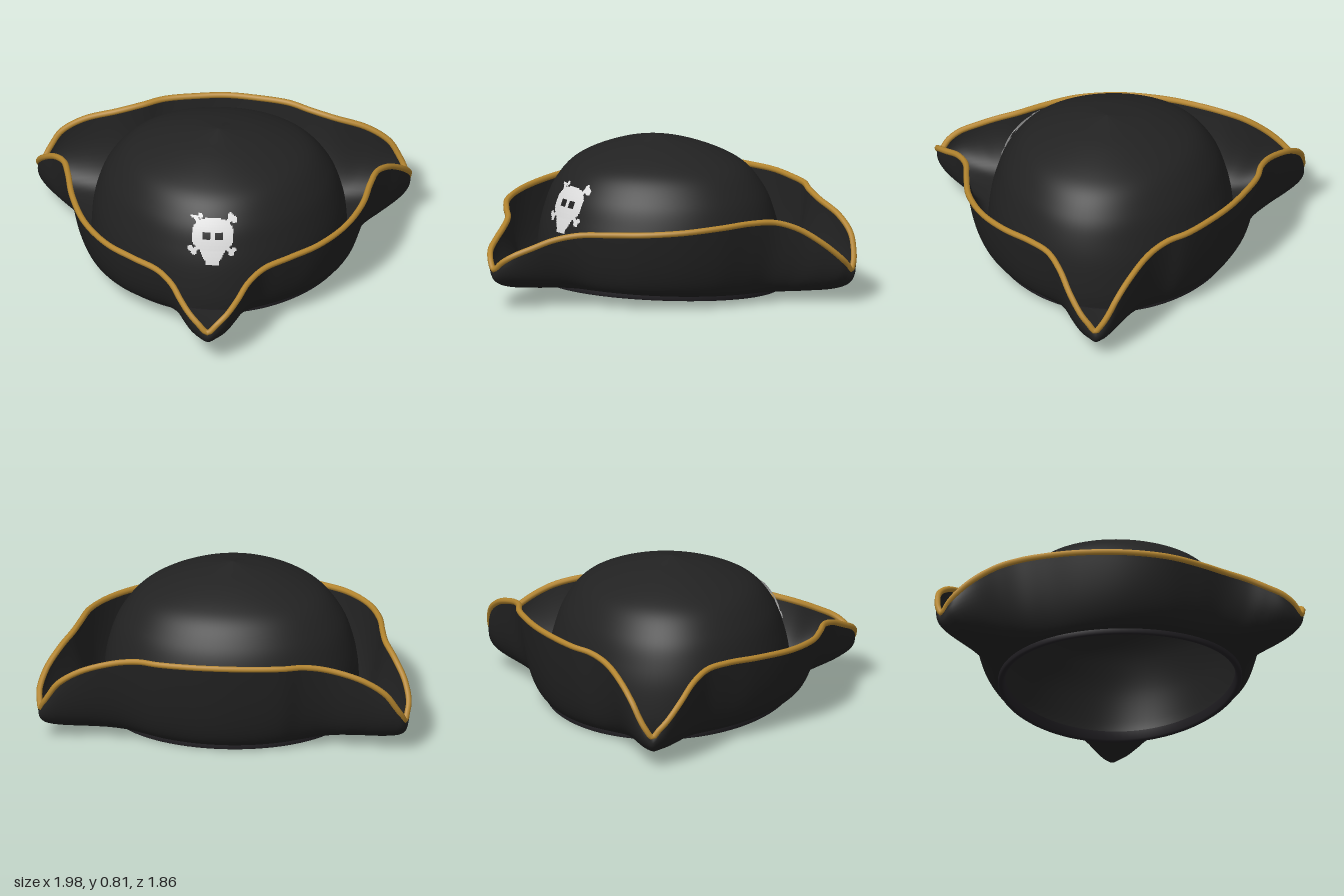
import * as THREE from 'three';

const material = (name, color, side = THREE.FrontSide) => {
  const m = new THREE.MeshStandardMaterial({ color, side });
  m.name = name;
  return m;
};

const SEGMENTS = 96, TOP = 0.812, CENTRE_Z = -0.14, DEPTH = 0.955, EGG = 0.12;

// The hat sits tilted: its opening is higher at the front
const baseY = z => 0.031 + 0.049 * (z - CENTRE_Z);

// The crown gets a little shallower from front to back as it rises
const depthAt = y => DEPTH - 0.035 * Math.min(1, y / 0.4);

// Egg-shaped outline, narrower at the front: x of a unit ring at angle a
const eggX = a => Math.sin(a) * (1 - EGG * Math.cos(a)) * 0.99;

// Joins rings of points (each closed, listed from front towards +x) into one smooth surface
function loft(rings) {
  const n = rings[0].length, index = [];
  for (let j = 0; j < rings.length - 1; j++) {
    for (let i = 0; i < n; i++) {
      const a = j * n + i, b = j * n + (i + 1) % n;
      index.push(a, b, a + n, b, b + n, a + n);
    }
  }
  const geometry = new THREE.BufferGeometry().setFromPoints(rings.flat());
  geometry.setIndex(index);
  geometry.computeVertexNormals();
  return geometry;
}

// Oval ring at radius r and height y above the tilted opening; the tilt fades out to the peak
function oval(r, y) {
  return Array.from({ length: SEGMENTS }, (_, i) => {
    const a = (i / SEGMENTS) * Math.PI * 2;
    const z = CENTRE_Z + Math.cos(a) * r * depthAt(y);
    return new THREE.Vector3(eggX(a) * r, y + baseY(z) * (1 - y / TOP), z);
  });
}

const crownProfile = new THREE.SplineCurve([
  [0.665, 0.005], [0.675, 0.12], [0.663, 0.3], [0.625, 0.45], [0.575, 0.55], [0.5, 0.64],
  [0.4, 0.7], [0.25, 0.755], [0.1, 0.79], [0.001, TOP],
].map(p => new THREE.Vector2(...p))).getPoints(60);

// Front of the crown: z for a given x and y
function crownZ(x, y) {
  const b = baseY(0.4);
  const h = (y - b) / (1 - b / TOP);
  const k = crownProfile.findIndex(p => p.y >= h);
  const p = crownProfile[k - 1], q = crownProfile[k];
  const r = THREE.MathUtils.mapLinear(h, p.y, q.y, p.x, q.x);
  const across = x / (1 - EGG);
  return CENTRE_Z + depthAt(h) * Math.sqrt(r * r - across * across);
}

// Brim edge from the front point round to the middle of the back, then back along the other side
function brimEdge() {
  const half = [
    [0, 0.216, 0.913], [0.05, 0.26, 0.9], [0.1, 0.3, 0.862], [0.15, 0.338, 0.78], [0.2, 0.378, 0.675],
    [0.28, 0.405, 0.57], [0.41, 0.418, 0.477], [0.555, 0.428, 0.365], [0.685, 0.44, 0.195], [0.765, 0.455, 0],
    [0.797, 0.463, -0.19], [0.825, 0.455, -0.32], [0.88, 0.415, -0.43], [0.945, 0.335, -0.54],
    [0.975, 0.255, -0.63], [0.972, 0.212, -0.675], [0.962, 0.174, -0.71], [0.945, 0.215, -0.74],
    [0.915, 0.27, -0.762], [0.865, 0.345, -0.78], [0.75, 0.42, -0.788], [0.57, 0.475, -0.79],
    [0.44, 0.5, -0.82], [0.33, 0.508, -0.87], [0.16, 0.512, -0.902], [0, 0.515, -0.915],
  ].map(p => new THREE.Vector3(...p));
  // The right side of the brim is slightly fuller towards the front
  const fuller = z => 0.055 * Math.max(0, 1 - ((z - 0.42) / 0.4) ** 2);
  const other = half.slice(1, -1).reverse().map(p => new THREE.Vector3(-p.x, p.y, p.z + fuller(p.z)));
  return new THREE.CatmullRomCurve3([...half, ...other], true);
}

// Brim: runs out flat from the crown, then curls up to the edge, bulging at the three points
function brimGeometry(edge) {
  const sections = edge.getPoints(300).slice(0, -1).map(rim => {
    const a = Math.atan2(rim.x, (rim.z - CENTRE_Z) / DEPTH);
    const inner = new THREE.Vector3(eggX(a) * 0.655, 0, CENTRE_Z + Math.cos(a) * 0.655 * DEPTH);
    inner.y = baseY(inner.z) + 0.024;
    const distance = Math.hypot(rim.x - inner.x, rim.z - inner.z);
    const bend = inner.clone().lerp(rim, Math.min(1.18, 0.42 + 1.7 * distance));
    bend.y = inner.y;
    return new THREE.QuadraticBezierCurve3(inner, bend, rim).getPoints(16);
  });
  return loft(sections[0].map((_, j) => sections.map(s => s[j])));
}

// Whether a spot on the crown front belongs to the skull and crossbones
function inEmblem(x, y) {
  const near = (cx, cy, r) => Math.hypot(x - cx, y - cy) < r;
  const ax = Math.abs(x);
  if (ax > 0.014 && ax < 0.056 && y > 0.487 && y < 0.525) return false; // eyes
  const skull = Math.pow(ax / 0.108, 2.8) + Math.pow(Math.abs(y - 0.505) / 0.083, 2.8) < 1;
  const jaw = y > 0.357 && y < 0.46 && ax < 0.038 + Math.max(0, y - 0.375) * 0.55;
  const bone = Math.abs(y - 0.508) < 0.085 &&
    [-1, 1].some(s => Math.abs(x - s * (y - 0.508) * 1.22) < 0.016);
  const knob = near(-0.068, 0.597, 0.013) || near(-0.09, 0.585, 0.013) ||
    near(0.092, 0.596, 0.015) || near(0.113, 0.579, 0.015) ||
    near(-0.118, 0.436, 0.015) || near(-0.1, 0.417, 0.014) ||
    near(0.112, 0.433, 0.014) || near(0.1, 0.414, 0.014);
  return skull || jaw || bone || knob;
}

// Emblem: small square cells laid just above the crown
function emblemGeometry() {
  const cell = 0.006, points = [], index = [];
  const place = (x, y) => new THREE.Vector3(x, y + 0.003, crownZ(x, y) + 0.011);
  for (let i = -23; i < 23; i++) {
    for (let j = 0; j < 44; j++) {
      const x = i * cell, y = 0.355 + j * cell;
      if (!inEmblem(x + cell / 2, y + cell / 2)) continue;
      const k = points.length;
      points.push(place(x, y), place(x + cell, y), place(x + cell, y + cell), place(x, y + cell));
      index.push(k, k + 1, k + 2, k, k + 2, k + 3);
    }
  }
  const geometry = new THREE.BufferGeometry().setFromPoints(points);
  geometry.setIndex(index);
  geometry.computeVertexNormals();
  return geometry;
}

export function createModel() {
  const felt = material('black felt', 0x222222, THREE.DoubleSide);
  const lining = material('dark lining', 0x232125, THREE.DoubleSide);
  const gold = material('gold trim', 0xb5862f);
  const bone = material('bone white', 0xdcdcdc, THREE.DoubleSide);

  const hat = new THREE.Group();
  hat.name = 'tricornHat';
  const add = (name, geometry, mat) => {
    const mesh = new THREE.Mesh(geometry, mat);
    mesh.name = name;
    hat.add(mesh);
  };

  const edge = brimEdge();
  add('crown', loft(crownProfile.map(p => oval(p.x, p.y))), felt);
  add('brim', brimGeometry(edge), felt);
  add('brimTrim', new THREE.TubeGeometry(edge, 360, 0.016, 8, true), gold);

  // Headband around the opening
  const band = [[0.63, 0.05], [0.635, 0.006], [0.645, 0], [0.66, 0], [0.668, 0.006], [0.668, 0.03]];
  add('headband', loft(band.map(([r, y]) => oval(r, y))), lining);

  add('skullEmblem', emblemGeometry(), bone);
  return hat;
}
